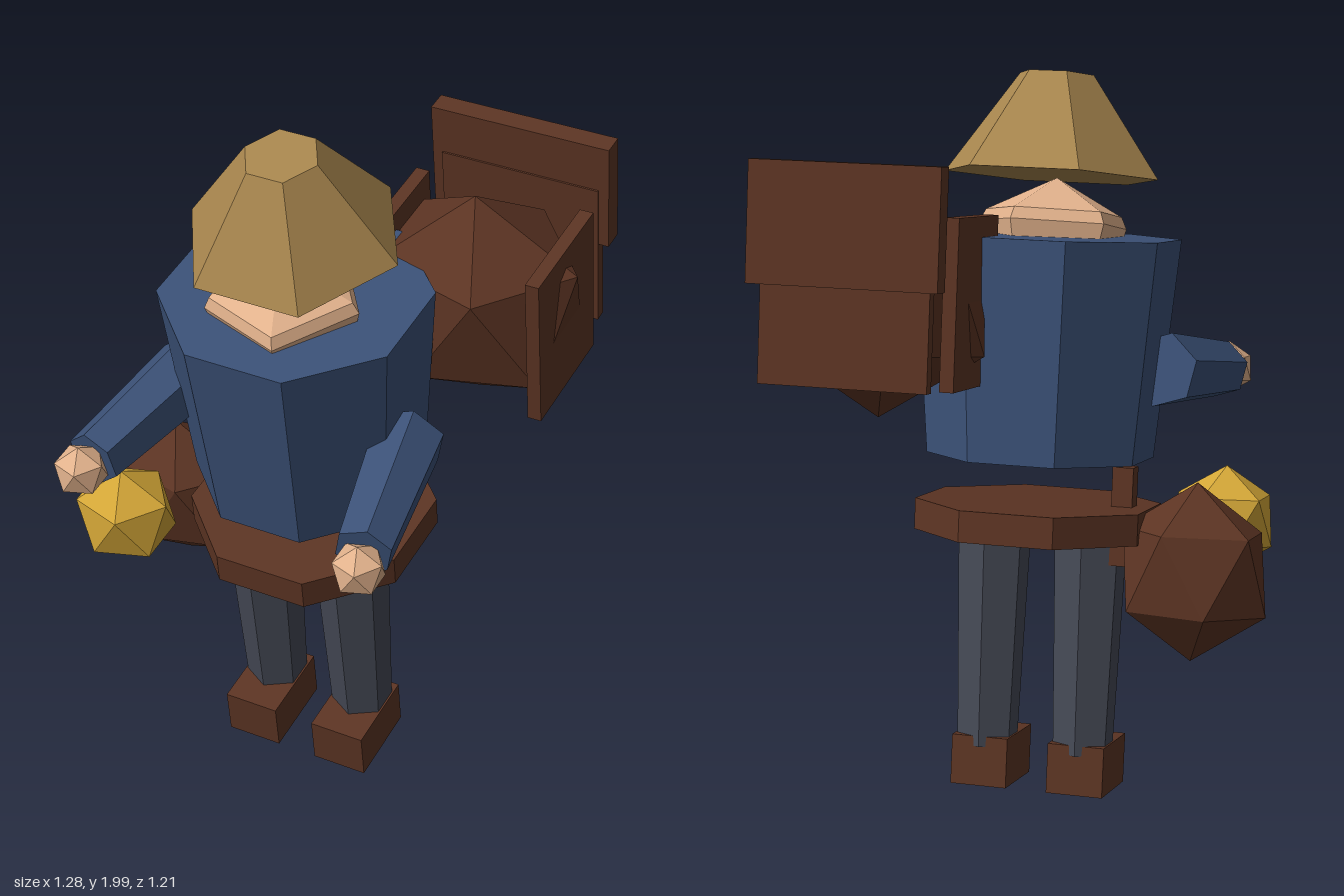
import * as THREE from 'three';

const LEAN = 0.14;      // forward lean of the whole figure
const HEAD_TILT = 0.23; // head and hat bow a little further

function mat(name, color) {
  const m = new THREE.MeshStandardMaterial({ color });
  m.name = name;
  return m;
}

// Faceted normals
function flat(geo) {
  const g = geo.index ? geo.toNonIndexed() : geo;
  g.computeVertexNormals();
  return g;
}

// Icosahedron standing on a corner, with an upper-ring corner towards +x
function gem(rx, ry, rz) {
  const g = new THREE.IcosahedronGeometry(1, 0);
  g.rotateX(-Math.atan((1 + Math.sqrt(5)) / 2));
  g.rotateY(Math.PI / 2);
  g.scale(rx, ry, rz);
  return flat(g);
}

function prism(rTop, rBottom, h, sides, turn = 0) {
  return flat(new THREE.CylinderGeometry(rTop, rBottom, h, sides).rotateY(turn));
}

export function createModel() {
  const cloth = mat('blue cloth', 0x3b5177);
  const leather = mat('brown leather', 0x5c3423);
  const trousers = mat('grey trousers', 0x454955);
  const straw = mat('straw', 0xa8864e);
  const skin = mat('skin', 0xe2b28c);
  const gold = mat('gold', 0xd3a637);

  const model = new THREE.Group();
  model.name = 'traveller';

  function add(name, geo, material, x, y, z, tilt = LEAN, parent = model) {
    const m = new THREE.Mesh(geo, material);
    m.name = name;
    m.position.set(x, y, z);
    m.rotation.x = tilt;
    parent.add(m);
    return m;
  }

  // Tapered six-sided limb between two points
  function limb(name, material, from, to, rFrom, rTo) {
    const a = new THREE.Vector3(...from), b = new THREE.Vector3(...to);
    const dir = b.clone().sub(a);
    const mid = a.clone().add(b).multiplyScalar(0.5);
    const m = add(name, prism(rTo, rFrom, dir.length(), 6), material, mid.x, mid.y, mid.z, 0);
    m.quaternion.setFromUnitVectors(new THREE.Vector3(0, 1, 0), dir.normalize());
    return m;
  }

  // Torso and belt
  add('torso', prism(0.363, 0.311, 0.597, 8, Math.PI / 8), cloth, 0.01, 1.256, 0.065);
  add('belt', prism(0.338, 0.338, 0.085, 8, Math.PI / 8), leather, 0.01, 0.793, 0);

  // Legs and boots
  for (const [side, s] of [['right', -1], ['left', 1]]) {
    const x = 0.01 + s * 0.1375;
    limb(side + 'Leg', trousers, [x, 0.14, -0.036], [x, 0.78, 0.053], 0.085, 0.104);
    add(side + 'Boot', flat(new THREE.BoxGeometry(0.159, 0.138, 0.236)), leather, x, 0.092, 0, 0.15);
  }

  // Arms and hands
  limb('rightArm', cloth, [-0.315, 1.205, 0.08], [-0.39, 1.125, 0.48], 0.103, 0.08);
  limb('leftArm', cloth, [0.33, 1.185, 0.08], [0.405, 1.1, 0.48], 0.103, 0.08);
  add('rightHand', gem(0.075, 0.075, 0.075), skin, -0.397, 1.12, 0.53);
  add('leftHand', gem(0.075, 0.075, 0.075), skin, 0.413, 1.077, 0.52);

  // Head: five-sided, sunk into the collar
  const profile = [[0, -0.22], [0.19, -0.2], [0.212, -0.125], [0.196, -0.093], [0, 0]]
    .map(([r, y]) => new THREE.Vector2(r, y));
  add('head', flat(new THREE.LatheGeometry(profile, 5, Math.PI / 2)), skin, 0.01, 1.696, 0.185, HEAD_TILT);
  add('hat', prism(0.103, 0.298, 0.272, 6, Math.PI / 6), straw, 0.007, 1.847, 0.14, HEAD_TILT);

  // Backpack with side boards and a two-part back board
  const pack = new THREE.Group();
  pack.name = 'backpack';
  model.add(pack);
  add('packSack', gem(0.32, 0.32, 0.268), leather, 0.355, 1.439, -0.277, LEAN, pack);
  for (const [name, x] of [['packRightBoard', 0.115], ['packLeftBoard', 0.59]]) {
    add(name, flat(new THREE.BoxGeometry(0.038, 0.446, 0.342)), leather, x, 1.436, -0.279, LEAN, pack);
  }
  add('packUpperBackBoard', flat(new THREE.BoxGeometry(0.513, 0.315, 0.06)), leather, 0.352, 1.672, -0.551, LEAN, pack);
  add('packLowerBackBoard', flat(new THREE.BoxGeometry(0.455, 0.434, 0.035)), leather, 0.352, 1.475, -0.561, LEAN, pack);

  // Hip pouch, its strap and a lantern
  add('pouch', gem(0.224, 0.242, 0.165), leather, -0.442, 0.688, -0.06);
  add('pouchStrap', flat(new THREE.BoxGeometry(0.058, 0.27, 0.055)), leather, -0.225, 0.805, 0.022);
  add('lantern', gem(0.15, 0.15, 0.14), gold, -0.463, 0.762, 0.217);

  return model;
}
